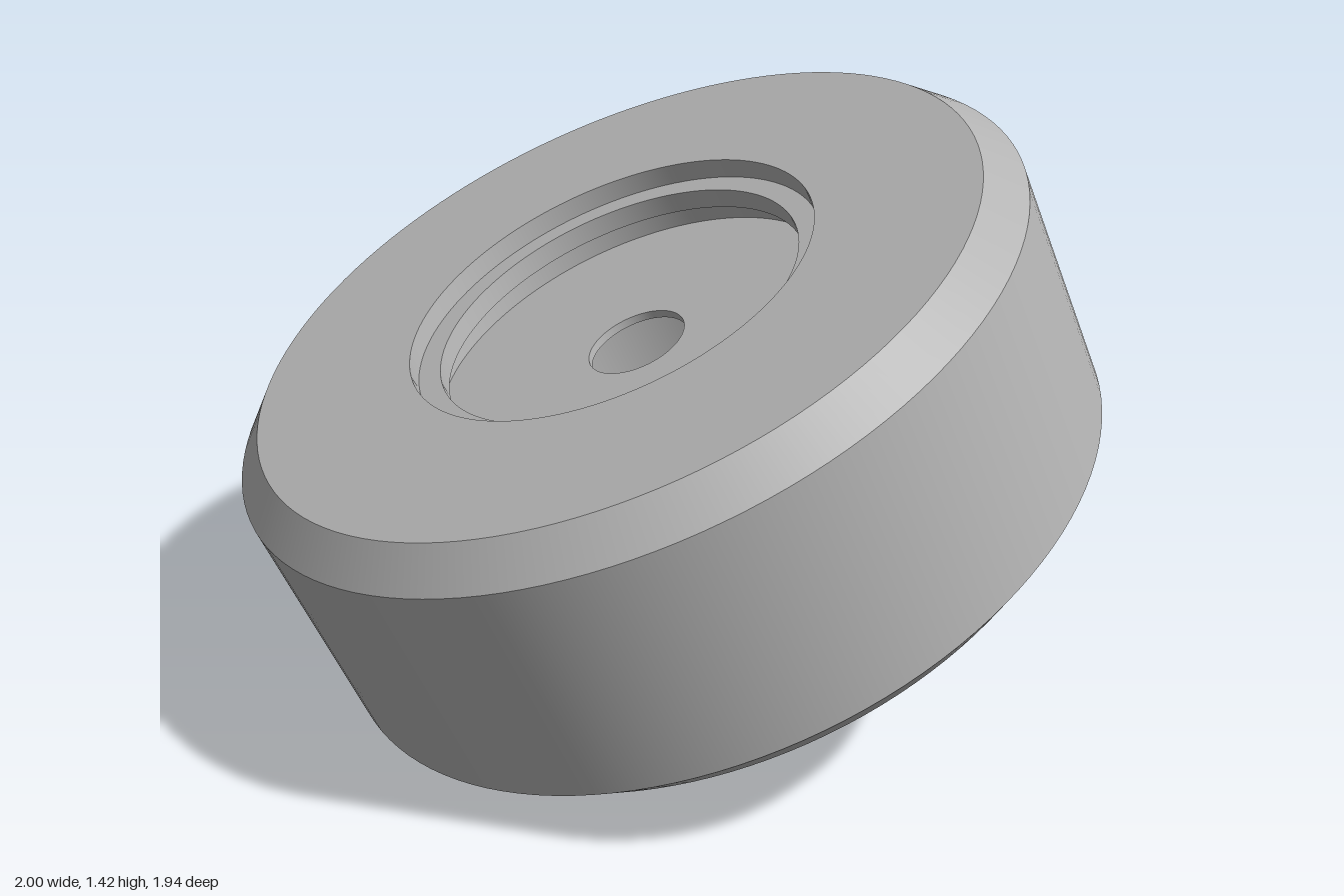
import * as THREE from 'three';
import { mergeGeometries } from 'three/addons/utils/BufferGeometryUtils.js';

const SEGMENTS = 128;

// Revolve a profile of [radius, height] points, keeping every corner sharp.
function revolve(profile) {
  const bands = [];
  for (let i = 0; i < profile.length - 1; i++) {
    const ends = [profile[i], profile[i + 1]].map(([r, y]) => new THREE.Vector2(r, y));
    bands.push(new THREE.LatheGeometry(ends, SEGMENTS));
  }
  return mergeGeometries(bands);
}

export function createModel() {
  const metal = new THREE.MeshStandardMaterial({ color: 0xb4b4b4 });
  metal.name = 'grey metal';

  const R = 0.97, H = 0.367, C = 0.08; // outer radius, half height, chamfer
  const bore = 0.52, groove = 0.5, lip = 0.445, hole = 0.12;
  const floorTop = H - 0.17, floorBottom = H - 0.19;

  const parts = {
    // chamfered outside of the ring
    outerBody: [[bore, -H], [R - C, -H], [R, -H + C], [R, H - C], [R - C, H], [0.5, H]],
    // stepped recess with an undercut below the lip
    upperRecess: [[0.5, H], [0.5, H - 0.05], [lip, H - 0.05], [lip, H - 0.1],
      [groove, H - 0.1], [groove, floorTop]],
    // thin floor with a round hole
    centreFloor: [[groove, floorTop], [hole, floorTop], [hole, floorBottom], [bore, floorBottom]],
    // deep bore underneath
    lowerBore: [[bore, floorBottom], [bore, -H]],
  };

  const wheel = new THREE.Group();
  wheel.name = 'tiltedRing';
  for (const [name, profile] of Object.entries(parts)) {
    const mesh = new THREE.Mesh(revolve(profile), metal);
    mesh.name = name;
    wheel.add(mesh);
  }

  // tilt the axis and rest the lower rim on the ground
  wheel.rotation.z = THREE.MathUtils.degToRad(25);
  wheel.position.y = H * Math.cos(wheel.rotation.z) + (R - C) * Math.sin(wheel.rotation.z);

  const model = new THREE.Group();
  model.name = 'model';
  model.add(wheel);
  return model;
}
